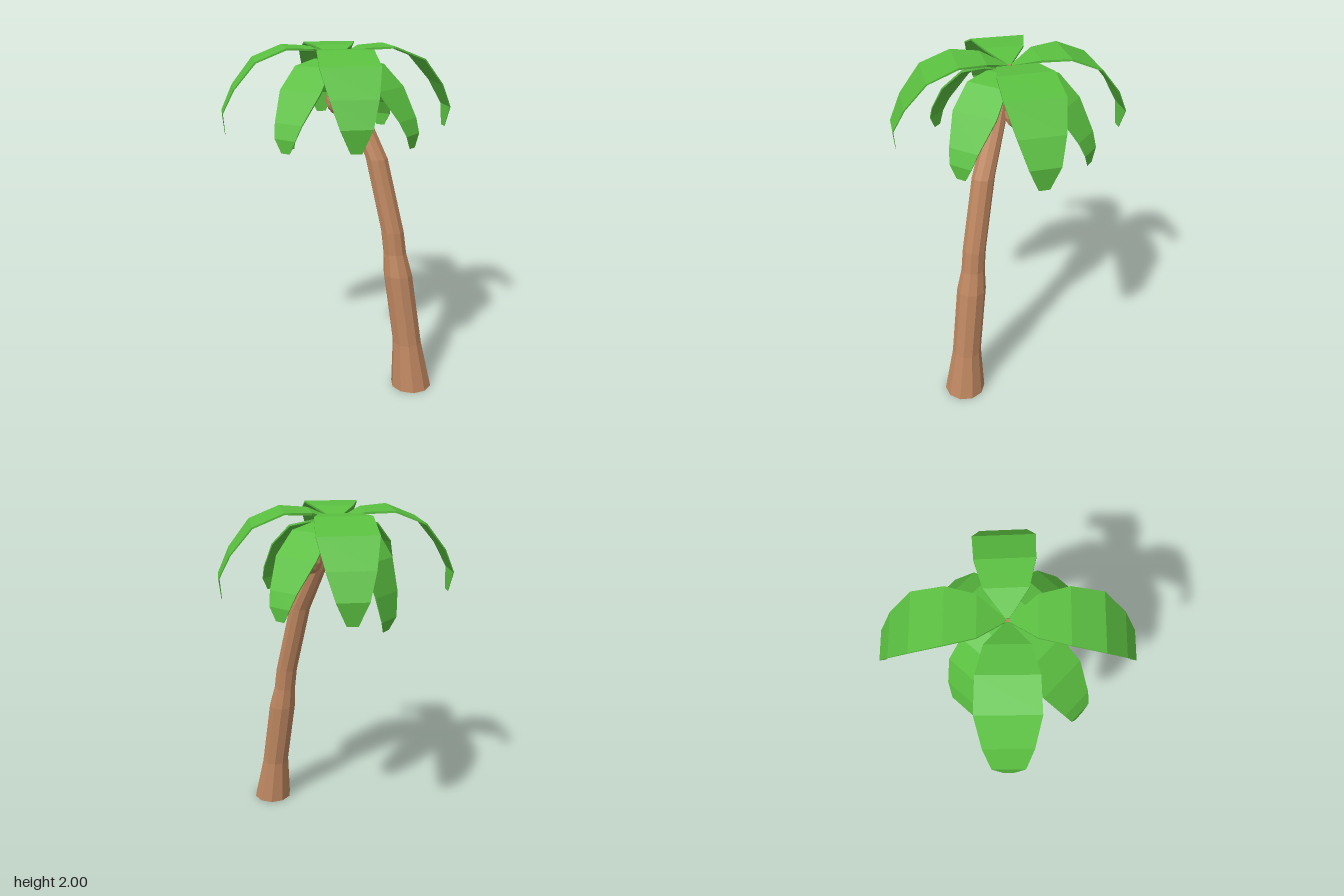
import * as THREE from 'three';

const green = new THREE.MeshStandardMaterial({ color: 0x5abf40, flatShading: true });
const brown = new THREE.MeshStandardMaterial({ color: 0xbd8660, flatShading: true });

// Skin a list of equal-sized rings of [x, y, z] points and cap both ends
function loft(rings) {
  const n = rings[0].length, last = (rings.length - 1) * n, index = [];
  for (let i = 0; i < last; i += n) {
    for (let j = 0; j < n; j++) {
      const k = (j + 1) % n;
      index.push(i + j, i + n + j, i + n + k, i + j, i + n + k, i + k);
    }
  }
  for (let j = 1; j < n - 1; j++) {
    index.push(0, j, j + 1, last, last + j + 1, last + j);
  }
  const indexed = new THREE.BufferGeometry();
  indexed.setAttribute('position', new THREE.Float32BufferAttribute(rings.flat(2), 3));
  indexed.setIndex(index);
  const geometry = indexed.toNonIndexed();
  geometry.computeVertexNormals();
  return geometry;
}

// Thin frond along +x from sections of [distance, height, half width]
function frondGeometry(sections) {
  const last = sections.length - 1;
  return loft(sections.map(([r, y, w], i) => {
    const p = sections[Math.max(i - 1, 0)], q = sections[Math.min(i + 1, last)];
    const length = Math.hypot(q[0] - p[0], q[1] - p[1]);
    const t = i === last ? 0.002 : 0.014 * (1 - 0.8 * i / last);
    // inner surface lies perpendicular to the frond's arc
    const br = r - t * (p[1] - q[1]) / length, by = y - t * (q[0] - p[0]) / length;
    return [[br, by, w], [r, y, w], [r, y, -w], [br, by, -w]];
  }));
}

export function createModel() {
  const model = new THREE.Group();
  const add = (name, geometry, material) => {
    const mesh = new THREE.Mesh(geometry, material);
    mesh.name = name;
    model.add(mesh);
    return mesh;
  };

  // Leaning ten-sided trunk: [x, y, radius]
  const trunk = [
    [0.48, 0, 0.121], [0.445, 0.28, 0.086], [0.373, 0.7, 0.085], [0.349, 0.83, 0.068],
    [0.33, 0.96, 0.067], [0.217, 1.38, 0.065], [0.085, 1.64, 0.056],
    [0.015, 1.8, 0.045], [-0.06, 1.94, 0.016],
  ];
  add('trunk', loft(trunk.map(([x, y, r]) => Array.from({ length: 10 }, (_, i) => {
    const a = (i + 0.5) * Math.PI / 5;
    return [x + r * Math.cos(a), y, 0.005 + r * Math.sin(a)];
  }))), brown);

  // Crown: four raised diagonal fronds over four drooping ones
  const upper = frondGeometry([
    [0.01, 1.94, 0.01], [0.148, 1.992, 0.115], [0.305, 2, 0.155], [0.478, 1.93, 0.163],
    [0.6, 1.78, 0.127], [0.667, 1.64, 0.085], [0.655, 1.515, 0.03],
  ]);
  const lower = frondGeometry([
    [0.01, 1.925, 0.01], [0.12, 1.932, 0.075], [0.24, 1.9, 0.122], [0.365, 1.78, 0.135],
    [0.475, 1.62, 0.09], [0.508, 1.54, 0.068], [0.505, 1.465, 0.028],
  ]);
  const drooping = frondGeometry([
    [0.01, 1.92, 0.01], [0.1, 1.91, 0.08], [0.2, 1.87, 0.125], [0.29, 1.74, 0.135],
    [0.345, 1.56, 0.11], [0.365, 1.42, 0.075], [0.345, 1.35, 0.03],
  ]);
  const placeFrond = (name, geometry, degrees) => {
    const frond = add(name, geometry, green);
    frond.position.set(-0.06, 0, -0.005);
    frond.rotation.y = -THREE.MathUtils.degToRad(degrees);
  };
  [48, 137, 227, -45].forEach((a) => placeFrond('upperFrond', upper, a));
  [1, 90, 270].forEach((a) => placeFrond('lowerFrond', lower, a));
  placeFrond('droopingFrond', drooping, 180);

  // Coconuts clustered around the trunk top
  const nut = new THREE.IcosahedronGeometry(0.072, 1);
  [[0.045, 1.705, 0.137], [0.045, 1.705, -0.113], [-0.045, 1.7, 0.01]].forEach((p) => {
    add('coconut', nut, brown).position.set(...p);
  });

  return model;
}
